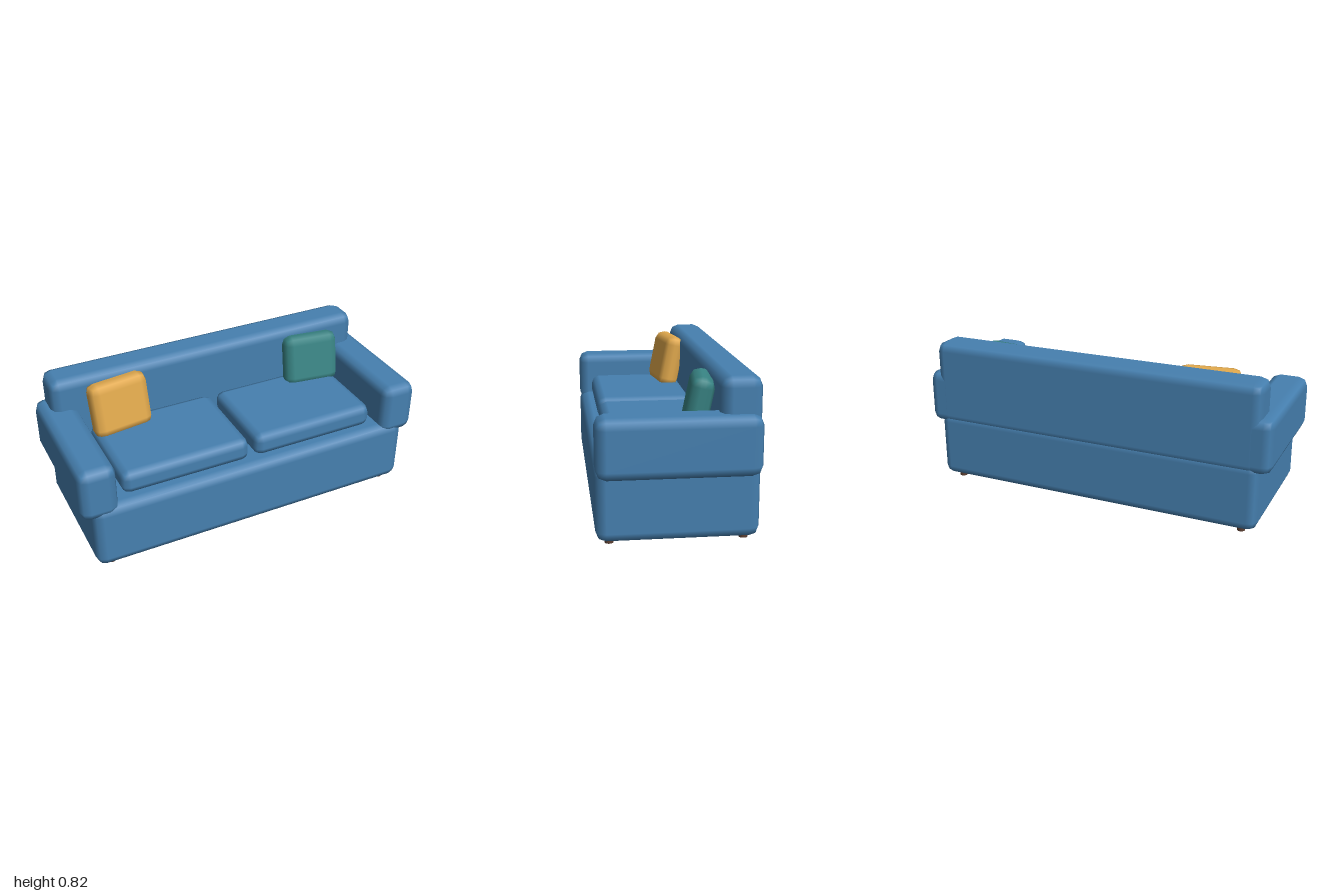
import * as THREE from 'three';

const mat = (name, color) => {
  const m = new THREE.MeshStandardMaterial({ color });
  m.name = name;
  return m;
};

// Box with two-segment rounded edges; full size is kept and flat faces stay flat
function softBox(w, h, d, r) {
  const g = new THREE.BoxGeometry(2, 2, 2, 3, 3, 3);
  const pos = g.attributes.position;
  const nor = g.attributes.normal;
  const half = new THREE.Vector3(w / 2 - r, h / 2 - r, d / 2 - r);
  const v = new THREE.Vector3();
  for (let i = 0; i < pos.count; i++) {
    v.fromBufferAttribute(pos, i);
    const core = new THREE.Vector3(Math.sign(v.x), Math.sign(v.y), Math.sign(v.z)).multiply(half);
    // inner grid lines end the flat area, outer ones lie on the 45 degree line
    v.set(Math.round(v.x), Math.round(v.y), Math.round(v.z)).normalize();
    nor.setXYZ(i, v.x, v.y, v.z);
    core.addScaledVector(v, r);
    pos.setXYZ(i, core.x, core.y, core.z);
  }
  return g;
}

export function createModel() {
  const sofa = new THREE.Group();
  sofa.name = 'sofa';
  const blue = mat('blue fabric', 0x4680b0);
  const mustard = mat('mustard fabric', 0xe0a84c);
  const teal = mat('teal fabric', 0x388484);
  const wood = mat('brown wood', 0x5c4033);

  const add = (name, geometry, material, x, y, z) => {
    const mesh = new THREE.Mesh(geometry, material);
    mesh.name = name;
    mesh.position.set(x, y, z);
    sofa.add(mesh);
    return mesh;
  };

  // Body
  add('base', softBox(1.88, 0.38, 0.8, 0.052), blue, 0, 0.21, 0);
  add('backrest', softBox(1.88, 0.48, 0.202, 0.052), blue, 0, 0.58, -0.301);

  // Arms, seat cushions and feet, mirrored
  for (const s of [1, -1]) {
    const side = s > 0 ? 'left' : 'right';
    add(side + 'Arm', softBox(0.206, 0.302, 0.8, 0.052), blue, s * 0.897, 0.493, 0);
    add(side + 'SeatCushion', softBox(0.735, 0.133, 0.54, 0.045), blue, s * 0.385, 0.457, 0.06);
    for (const f of [1, -1]) {
      add(side + (f > 0 ? 'FrontFoot' : 'BackFoot'),
        new THREE.CylinderGeometry(0.022, 0.022, 0.04, 16), wood, s * 0.85, 0.02, f * 0.332);
    }
  }

  // Throw pillows leaning on the backrest
  const lean = (mesh, turn, tilt) => mesh.rotation.set(tilt, turn, 0, 'YXZ');
  lean(add('mustardPillow', softBox(0.345, 0.31, 0.12, 0.05), mustard, -0.588, 0.648, -0.135), 0.13, -0.2);
  lean(add('tealPillow', softBox(0.33, 0.3, 0.12, 0.05), teal, 0.61, 0.636, -0.138), -0.13, -0.2);

  return sofa;
}
